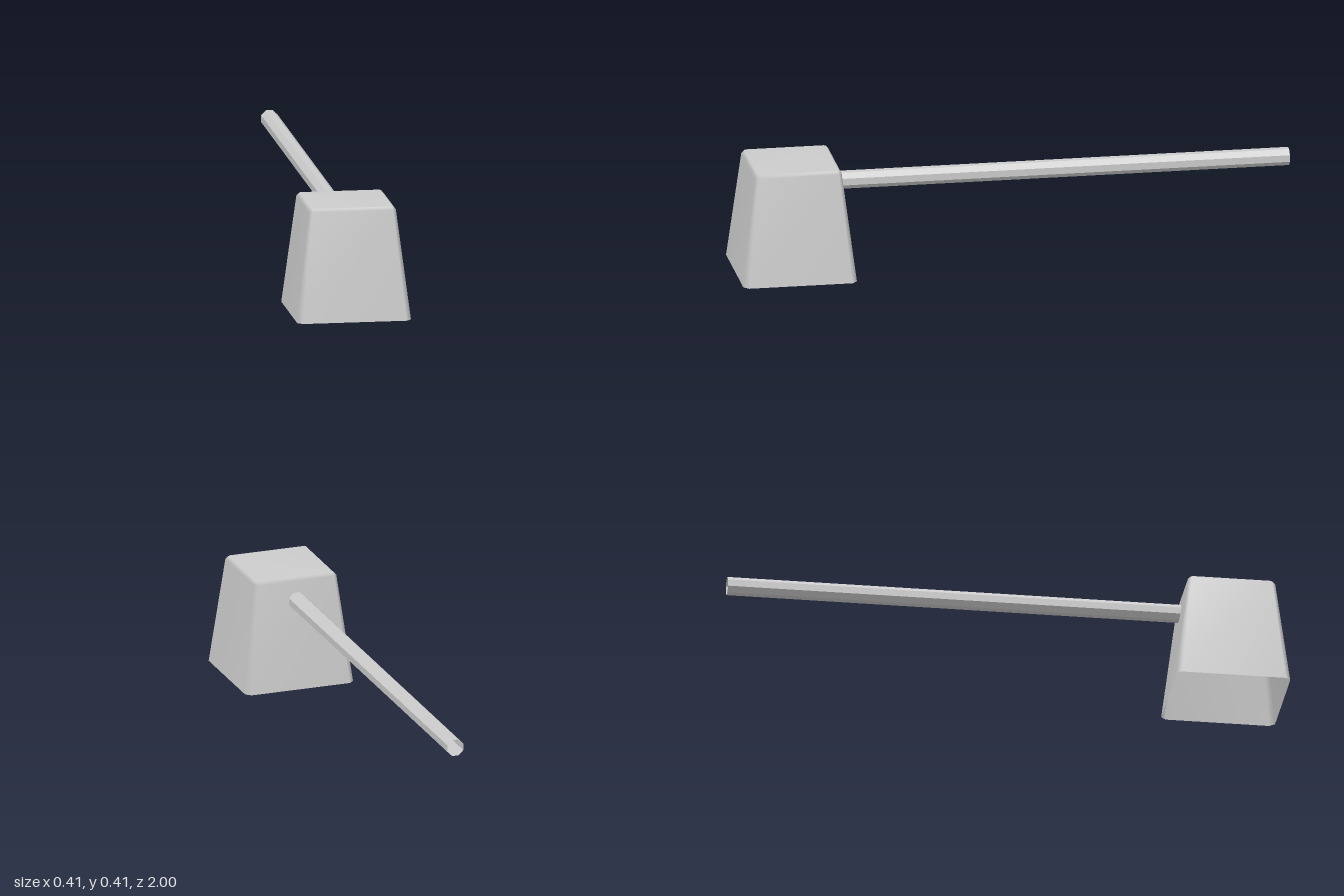
import * as THREE from 'three';

const material = new THREE.MeshStandardMaterial({ color: 0xcccccc, side: THREE.DoubleSide });
const rodMaterial = material.clone();
rodMaterial.flatShading = true;

// Square ring with chamfered corners, counter-clockwise seen from above
function ring(half, chamfer, y) {
  const points = [];
  const a = half, b = half - chamfer;
  for (const [x, z] of [[a, b], [a, -b], [b, -a], [-b, -a], [-a, -b], [-a, b], [-b, a], [b, a]]) {
    points.push(x, y, z);
  }
  return points;
}

// Tapered square cup, open at the bottom, with a bevelled top
function shadeGeometry() {
  const rings = [ring(0.205, 0.018, 0), ring(0.157, 0.012, 0.394), ring(0.147, 0.006, 0.405)];
  const index = [];
  for (let r = 0; r < rings.length - 1; r++) {
    for (let i = 0; i < 8; i++) {
      const a = r * 8 + i, b = r * 8 + (i + 1) % 8;
      index.push(a, b, b + 8, a, b + 8, a + 8);
    }
  }
  const top = (rings.length - 1) * 8;
  for (let i = 1; i < 7; i++) index.push(top, top + i, top + i + 1);

  const geometry = new THREE.BufferGeometry();
  geometry.setAttribute('position', new THREE.Float32BufferAttribute(rings.flat(), 3));
  geometry.setIndex(index);
  geometry.computeVertexNormals();
  return geometry;
}

export function createModel() {
  const model = new THREE.Group();
  model.name = 'hammerShape';

  const head = new THREE.Mesh(shadeGeometry(), material);
  head.name = 'head';
  head.position.z = 0.795;
  model.add(head);

  // Hollow eight-sided rod, flat side up, running back from the head
  const front = 0.64, back = -1;
  const rodGeometry = new THREE.CylinderGeometry(0.0325, 0.0325, front - back, 8, 1, true);
  rodGeometry.rotateY(Math.PI / 8);
  rodGeometry.rotateX(Math.PI / 2);
  const rod = new THREE.Mesh(rodGeometry, rodMaterial);
  rod.name = 'rod';
  rod.position.set(0, 0.322, (front + back) / 2);
  model.add(rod);

  return model;
}
